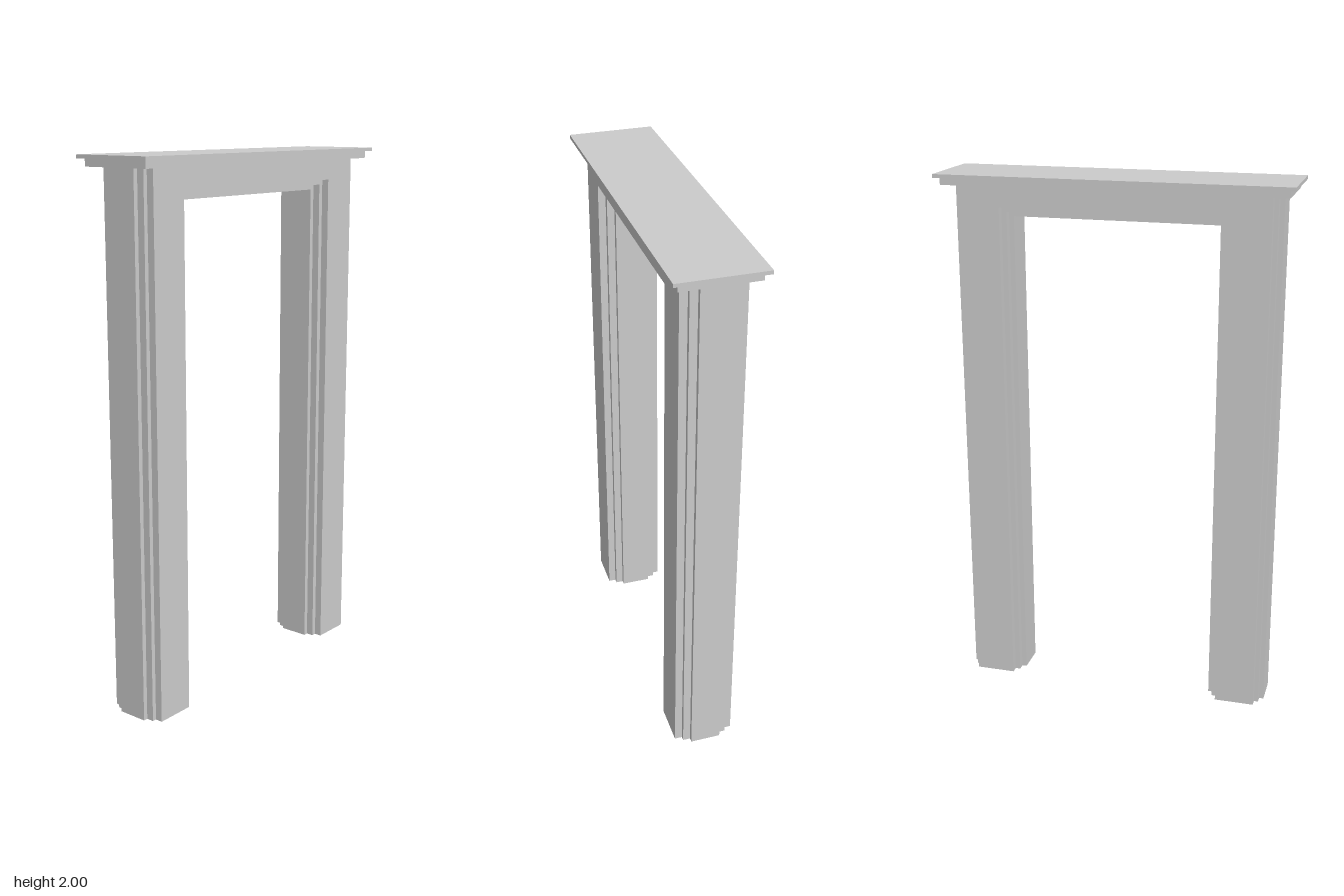
import * as THREE from 'three';

const material = new THREE.MeshStandardMaterial({ color: 0xcccccc, flatShading: true });
const FRAME_TOP = 1.96;

// Door-shaped slab: outer half width, opening half width, opening height, z range
function archLayer(name, outer, inner, head, z0, z1) {
  const shape = new THREE.Shape([
    [-outer, 0], [-inner, 0], [-inner, head], [inner, head],
    [inner, 0], [outer, 0], [outer, FRAME_TOP], [-outer, FRAME_TOP],
  ].map(([x, y]) => new THREE.Vector2(x, y)));
  const geometry = new THREE.ExtrudeGeometry(shape, { depth: z1 - z0, bevelEnabled: false });
  geometry.translate(0, 0, z0);
  const mesh = new THREE.Mesh(geometry, material);
  mesh.name = name;
  return mesh;
}

function board(name, halfX, halfZ, y0, y1) {
  const mesh = new THREE.Mesh(new THREE.BoxGeometry(halfX * 2, y1 - y0, halfZ * 2), material);
  mesh.position.y = (y0 + y1) / 2;
  mesh.name = name;
  return mesh;
}

export function createModel() {
  const model = new THREE.Group();
  model.name = 'doorFrame';

  // Full-width core, with narrower layers stepping out on both faces
  model.add(archLayer('frameCore', 0.6, 0.38, 1.846, -0.057, 0.057));
  const steps = [
    ['Step', 0.583, 0.398, 1.865, 0.057, 0.085],
    ['Casing', 0.567, 0.417, 1.884, 0.085, 0.113],
  ];
  for (const [part, outer, inner, head, z0, z1] of steps) {
    model.add(archLayer('front' + part, outer, inner, head, z0, z1));
    model.add(archLayer('back' + part, outer, inner, head, -z1, -z0));
  }

  // Two-tier cornice
  model.add(board('corniceMoulding', 0.628, 0.138, FRAME_TOP, 1.987));
  model.add(board('corniceCap', 0.648, 0.158, 1.987, 2));
  return model;
}
